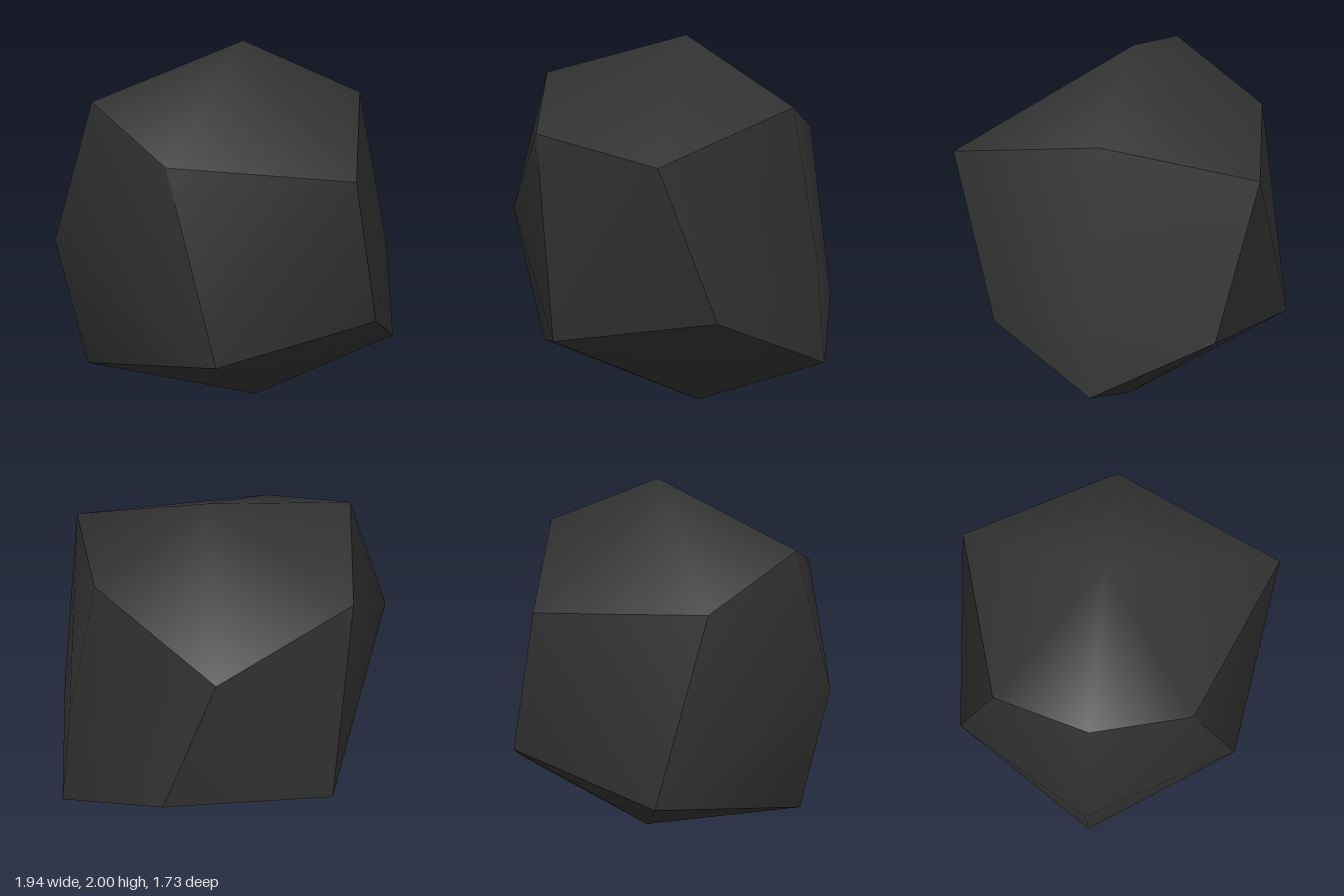
import * as THREE from 'three';

// One panel: an indexed patch, smooth inside and sharp against its neighbours.
function panel(name, points, index, material) {
  const geometry = new THREE.BufferGeometry();
  geometry.setAttribute('position', new THREE.Float32BufferAttribute(points.flat(), 3));
  geometry.setIndex(index);
  geometry.computeVertexNormals();
  const mesh = new THREE.Mesh(geometry, material);
  mesh.name = name;
  return mesh;
}

// Bulging panel: a ring of corners around a raised peak.
function domedPanel(name, peak, ring, material) {
  const index = [];
  ring.forEach((_, i) => index.push(0, 1 + i, 1 + ((i + 1) % ring.length)));
  return panel(name, [peak, ...ring], index, material);
}

export function createModel() {
  const group = new THREE.Group();
  group.name = 'facetedStone';
  const stone = new THREE.MeshStandardMaterial({ color: 0x323232 });
  stone.name = 'charcoal';

  // Corners, front (F) and back (B)
  const upperRightF = [-0.52, 1.48, 0.49], upperRightB = [-0.52, 1.48, -0.61];
  const upperLeftF = [0.45, 1.41, 0.86], upperLeftB = [0.43, 1.41, -0.87];
  const lowerRightF = [-0.3, 0.38, 0.69], lowerRightB = [-0.3, 0.38, -0.81];
  const lowerLeftF = [0.66, 0.53, 0.57], lowerLeftB = [0.66, 0.53, -0.68];

  // Points midway along the edges that run front to back
  const z = -0.06;
  const ridgeRight = [-0.76, 1.73, z], ridgeLeft = [0.78, 1.65, z];
  const keelRight = [-0.78, 0.26, z], keelLeft = [0.97, 0.26, z];

  // Four bulging sides, corners counter-clockwise from outside
  group.add(
    domedPanel('topFace', [0.11, 2, z],
      [ridgeLeft, upperLeftB, upperRightB, ridgeRight, upperRightF, upperLeftF], stone),
    domedPanel('leftFace', [0.93, 0.8, z],
      [ridgeLeft, upperLeftF, lowerLeftF, keelLeft, lowerLeftB, upperLeftB], stone),
    domedPanel('rightFace', [-0.97, 0.97, z],
      [ridgeRight, upperRightB, lowerRightB, keelRight, lowerRightF, upperRightF], stone),
    domedPanel('bottomFace', [0.18, 0, z],
      [keelLeft, lowerLeftF, lowerRightF, keelRight, lowerRightB, lowerLeftB], stone),
  );

  // Front and back, folded along the diagonal
  group.add(
    panel('frontFace', [upperRightF, lowerRightF, lowerLeftF, upperLeftF], [0, 1, 3, 1, 2, 3], stone),
    panel('backFace', [upperRightB, lowerRightB, lowerLeftB, upperLeftB], [0, 3, 1, 1, 3, 2], stone),
  );
  return group;
}
